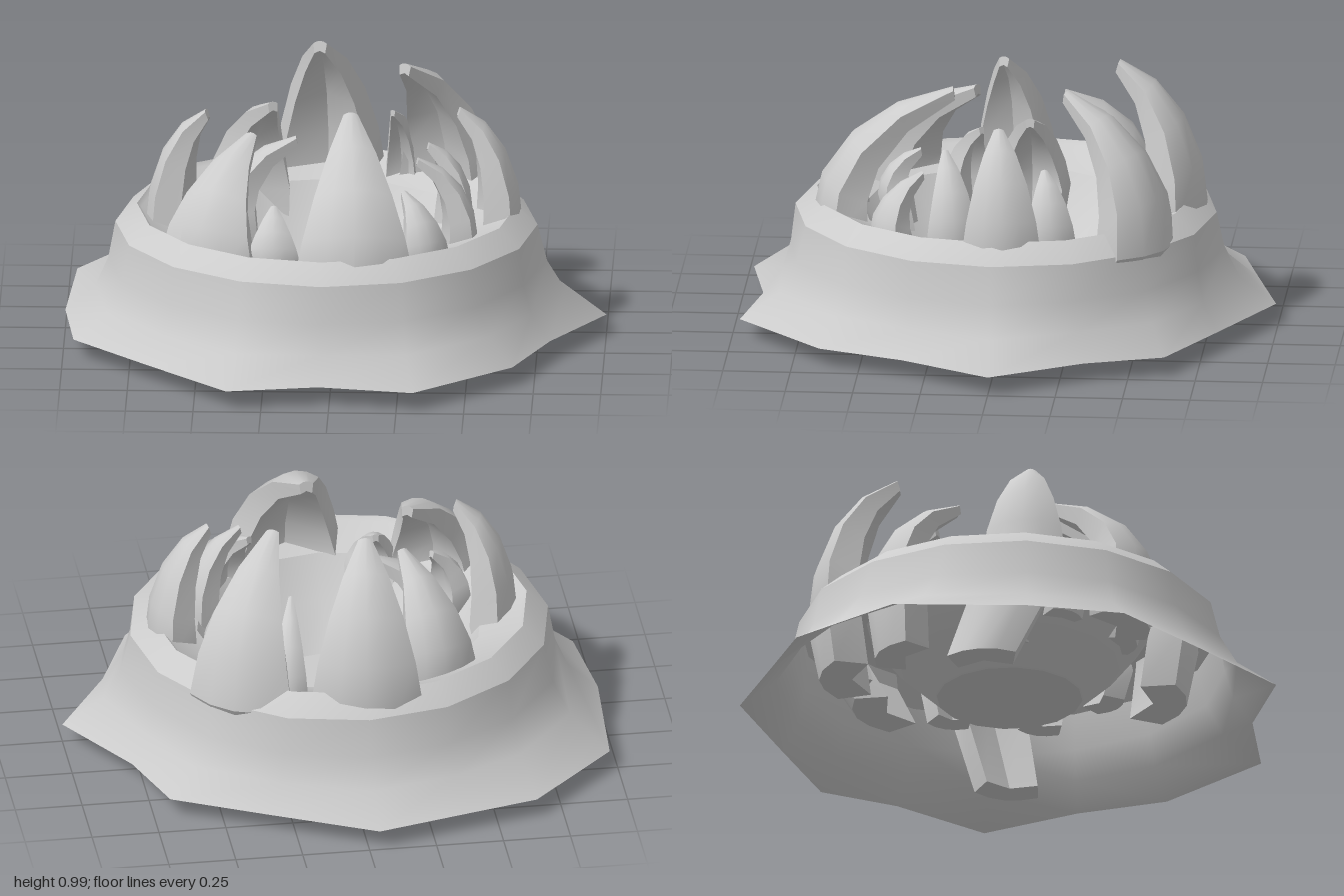
import * as THREE from 'three';
import { toCreasedNormals } from 'three/addons/utils/BufferGeometryUtils.js';

const material = new THREE.MeshStandardMaterial({ color: 0xcccccc, side: THREE.DoubleSide });
const SIDES = 16;
const CX = -0.035, CZ = 0.01;

// Skins a list of closed rings (arrays of Vector3), optionally capping the ends
function loft(rings, capStart, capEnd, crease) {
  const n = rings[0].length, pos = [], index = [];
  rings.forEach(r => r.forEach(p => pos.push(p.x, p.y, p.z)));
  for (let i = 0; i < rings.length - 1; i++) {
    for (let j = 0; j < n; j++) {
      const a = i * n + j, b = i * n + (j + 1) % n;
      index.push(a, a + n, b, b, a + n, b + n);
    }
  }
  const cap = (ring, start, flip) => {
    const c = ring.reduce((s, p) => s.add(p), new THREE.Vector3()).divideScalar(n);
    const k = pos.length / 3;
    pos.push(c.x, c.y, c.z);
    for (let j = 0; j < n; j++) {
      const a = start + j, b = start + (j + 1) % n;
      if (flip) index.push(k, a, b); else index.push(k, b, a);
    }
  };
  if (capStart) cap(rings[0], 0, true);
  if (capEnd) cap(rings[rings.length - 1], (rings.length - 1) * n, false);
  const geo = new THREE.BufferGeometry();
  geo.setAttribute('position', new THREE.Float32BufferAttribute(pos, 3));
  geo.setIndex(index);
  return toCreasedNormals(geo, crease);
}

function circle(r, y) {
  return Array.from({ length: SIDES }, (_, i) => {
    const a = i / SIDES * Math.PI * 2;
    return new THREE.Vector3(CX + r * Math.cos(a), y, CZ + r * Math.sin(a));
  });
}

// Irregular foot outline, x and z
const OUTLINE = [
  [1, 0], [0.8, 0.33], [0.67, 0.65], [0.31, 0.97], [-0.04, 0.91], [-0.38, 0.97], [-0.67, 0.67], [-0.96, 0.36],
  [-1, 0], [-0.97, -0.5], [-0.65, -0.83], [-0.38, -0.9], [-0.04, -0.99], [0.35, -0.8], [0.69, -0.63], [0.79, -0.34],
].map(([x, z]) => new THREE.Vector3(x, 0.08, z));

// Ring between the round shoulder and the irregular foot
function skirtRing(f, y) {
  return circle(0.78, y).map((p, i) => p.lerp(OUTLINE[i], f).setY(y));
}

// Curved claw: outer base point (x, z), tip (tx, th, tz), half width w,
// buried root at height bottom, by default just inward of the base
function claw(x, z, tx, th, tz, w, bottom, rootX = x * 0.94, rootZ = z * 0.94) {
  const y0 = 0.42, end = THREE.MathUtils.degToRad(78);
  const dir = new THREE.Vector3(tx - x, 0, tz - z);
  const reach = dir.length();
  dir.normalize();
  const side = new THREE.Vector3(dir.z, 0, -dir.x);
  const thick = 0.12 * Math.sqrt(w / 0.2);

  // Cross-section: rounded outside, shallow hollow inside
  const section = (c, inward, hw, t) => {
    const at = (u, s, d) => c.clone().addScaledVector(side, u * s * hw)
      .addScaledVector(inward, 0.38 * hw * u * u + d);
    return [
      ...[-1, -0.5, 0, 0.5, 1].map(u => at(u, 1, 0)),
      ...[1, 0, -1].map(u => at(u, 0.8, t)),
    ];
  };

  const rings = [section(new THREE.Vector3(rootX, bottom, rootZ), dir, w * 0.8, thick)];
  for (let i = 0; i <= 4; i++) {
    const a = end * i / 4;
    const out = (1 - Math.cos(a)) / (1 - Math.cos(end)), up = Math.sin(a) / Math.sin(end);
    const c = new THREE.Vector3(x, y0 + (th - y0) * up, z).addScaledVector(dir, reach * out);
    const run = reach * Math.sin(a) / (1 - Math.cos(end)), rise = (th - y0) * Math.cos(a) / Math.sin(end);
    const inward = dir.clone().multiplyScalar(rise).setY(-run).normalize();
    const k = 0.7 * out + 0.3 * up;
    rings.push(section(c, inward, w * (1 - 0.88 * k), thick * (1 - 0.7 * k)));
  }
  return loft(rings, true, true, 0.55);
}

const CLAWS = [
  // Large outer claws
  [-0.03, -0.74, -0.07, 1.0, -0.41, 0.21, 0.2],
  [0.45, -0.61, 0.25, 0.97, -0.24, 0.2, 0.25, 0.4, -0.52],
  [-0.36, -0.53, -0.24, 0.83, -0.2, 0.16, 0.18],
  [-0.7, 0.0, -0.48, 0.88, 0.05, 0.16, 0.01, -0.76, -0.16],
  [-0.5, 0.51, -0.31, 0.82, 0.14, 0.19, 0.28],
  [0.09, 0.72, 0.06, 0.92, 0.2, 0.22, 0.2],
  [0.69, -0.03, 0.46, 0.88, 0, 0.15, 0.03, 0.6, 0.04],
  // Small inner claws
  [0.24, -0.6, 0.2, 0.75, -0.36, 0.07, 0.3],
  [-0.45, -0.06, -0.15, 0.74, -0.07, 0.14, 0.22],
  [-0.52, 0.22, -0.4, 0.63, 0.13, 0.09, 0.3],
  [-0.22, 0.5, -0.22, 0.6, 0.34, 0.1, 0.3],
  [0.37, 0.47, 0.26, 0.65, 0.3, 0.1, 0.3],
  [0.53, 0.16, 0.31, 0.75, 0.21, 0.1, 0.25],
  [0.5, -0.2, 0.34, 0.69, -0.16, 0.1, 0.25],
];

export function createModel() {
  const model = new THREE.Group();
  const add = (name, geo) => {
    const mesh = new THREE.Mesh(geo, material);
    mesh.name = name;
    model.add(mesh);
  };

  // Flared skirt, open underneath
  add('skirt', loft([
    skirtRing(1, 0.08), skirtRing(0.4, 0.18), skirtRing(0.14, 0.29), skirtRing(0, 0.43),
  ], false, false, 1.2));

  // Bevelled rim and ledge
  add('rim', loft([circle(0.78, 0.43), circle(0.7, 0.5), circle(0.685, 0.485), circle(0.53, 0.43)], false, false, 0.6));

  // Bowl with a flat floor
  add('bowl', loft([circle(0.53, 0.43), circle(0.42, 0.29), circle(0.27, 0.15)], false, true, 0.5));

  // Ring of claws leaning into the bowl
  CLAWS.forEach((c, i) => add(i < 7 ? 'largeClaw' : 'smallClaw', claw(...c)));
  return model;
}
